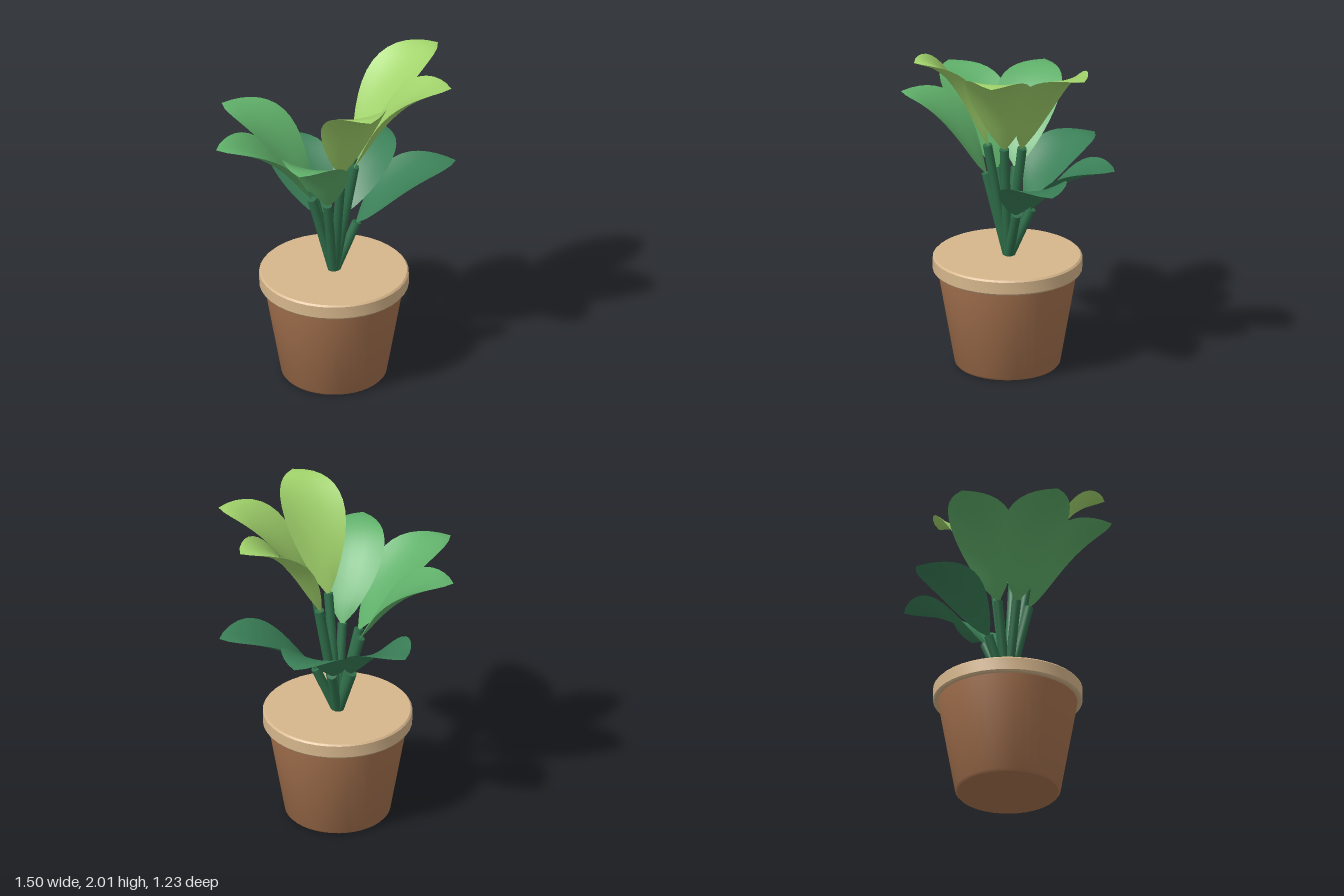
import * as THREE from 'three';
import { toCreasedNormals } from 'three/addons/utils/BufferGeometryUtils.js';

const mat = (color) => new THREE.MeshStandardMaterial({ color });

function lathe(name, profile, material) {
  const pts = profile.map(([r, y]) => new THREE.Vector2(r, y));
  const mesh = new THREE.Mesh(toCreasedNormals(new THREE.LatheGeometry(pts, 40), 0.6), material);
  mesh.name = name;
  return mesh;
}

// Thin cupped blade that arches outward along +z and upward along +y
function leafGeometry(length, rise) {
  const rows = 14, across = 6, ring = across * 2, pos = [], idx = [];
  for (let i = 0; i <= rows; i++) {
    const t = i / rows;
    const half = 0.19 * Math.pow(Math.max(Math.sin(Math.PI * t), 0), 0.8) + 0.012 * (1 - t);
    const cy = rise * (2 * t - t * t);
    // normal of the midrib curve
    const slope = rise * (2 - 2 * t), n = Math.hypot(slope, length);
    const ny = length / n, nz = -slope / n;
    const thick = 0.012 * Math.min(1, half / 0.08);
    for (let j = 0; j < ring; j++) {
      const top = j < across;
      const s = top ? -1 + (2 * j) / across : 1 - (2 * (j - across)) / across;
      const x = s * half;
      const h = 1.3 * x * x + (top ? 1 : -1) * thick * (1 - s * s);
      pos.push(x, cy + h * ny, length * t + h * nz);
    }
  }
  for (let i = 0; i < rows; i++) {
    for (let j = 0; j < ring; j++) {
      const k = (j + 1) % ring;
      const a = i * ring + j, b = i * ring + k, c = b + ring, d = a + ring;
      idx.push(a, d, c, a, c, b);
    }
  }
  const g = new THREE.BufferGeometry();
  g.setAttribute('position', new THREE.Float32BufferAttribute(pos, 3));
  g.setIndex(idx);
  g.computeVertexNormals();
  return toCreasedNormals(g, 1.2);
}

// Tapered stem between two points
function stemMesh(from, to, material) {
  const dir = to.clone().sub(from);
  const mesh = new THREE.Mesh(new THREE.CylinderGeometry(0.028, 0.028, dir.length(), 12), material);
  mesh.position.copy(from).addScaledVector(dir, 0.5);
  mesh.quaternion.setFromUnitVectors(new THREE.Vector3(0, 1, 0), dir.normalize());
  mesh.name = 'stem';
  return mesh;
}

export function createModel() {
  const group = new THREE.Group();

  // Pot body and rim with soil-coloured lid
  group.add(lathe('pot', [[0, 0], [0.3, 0], [0.313, 0.015], [0.415, 0.6], [0, 0.6]], mat(0xa87450)));
  group.add(lathe('rim', [
    [0, 0.59], [0.435, 0.59], [0.443, 0.6], [0.443, 0.674], [0.433, 0.684], [0, 0.684],
  ], mat(0xd6b68c)));

  // Three tiers of leaves; each leaf is [base x, base z, tip x, tip z]
  const tiers = [
    { name: 'upperLeaf', color: 0xa2d46c, base: 1.4, tip: 2.0, leaves: [
      [0.13, -0.045, 0.7, -0.23], [0.11, 0.06, 0.63, 0.33], [0.01, 0.13, 0.06, 0.61]] },
    { name: 'middleLeaf', color: 0x60b06a, base: 1.19, tip: 1.66, leaves: [
      [-0.07, 0.11, -0.36, 0.54], [-0.14, 0.015, -0.75, 0.1], [-0.11, -0.09, -0.57, -0.44]] },
    { name: 'lowerLeaf', color: 0x3a7f57, base: 0.985, tip: 1.31, leaves: [
      [-0.045, -0.13, -0.2, -0.62], [0.08, -0.12, 0.46, -0.51], [0.14, -0.005, 0.75, -0.01]] },
  ];
  const stemMat = mat(0x2f6e4a);
  const root = new THREE.Vector3(0, 0.66, -0.005);
  for (const tier of tiers) {
    const leafMat = mat(tier.color);
    for (const [bx, bz, tx, tz] of tier.leaves) {
      const base = new THREE.Vector3(bx, tier.base, bz);
      const leaf = new THREE.Mesh(
        leafGeometry(Math.hypot(tx - bx, tz - bz), tier.tip - tier.base), leafMat);
      leaf.name = tier.name;
      leaf.position.copy(base);
      leaf.rotation.y = Math.atan2(tx - bx, tz - bz);
      group.add(leaf, stemMesh(root, base, stemMat));
    }
  }
  return group;
}
